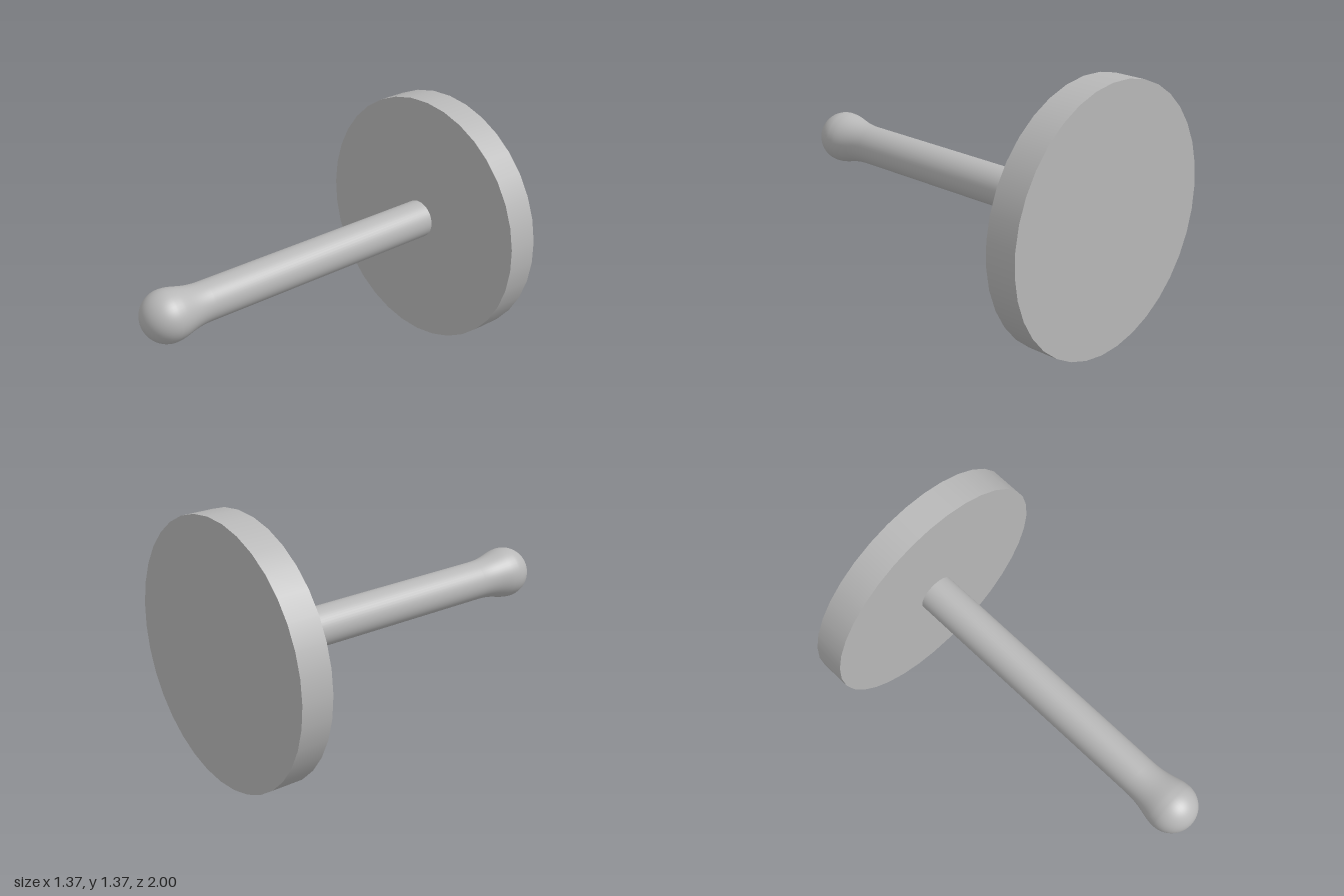
import * as THREE from 'three';

export function createModel() {
  const model = new THREE.Group();
  const grey = new THREE.MeshStandardMaterial({ color: 0xb8b8b8 });
  grey.name = 'plain grey';
  const axisY = 0.69;

  // Round base plate, standing upright at the back
  const plateGeometry = new THREE.CylinderGeometry(0.688, 0.688, 0.17, 35, 1, false, -Math.PI / 2);
  plateGeometry.rotateX(Math.PI / 2);
  const plate = new THREE.Mesh(plateGeometry, grey);
  plate.name = 'basePlate';
  plate.position.set(0, axisY, -0.915);
  model.add(plate);

  // Straight rod flaring into a ball tip, turned around the z axis
  const profile = [[0.104, -0.84], [0.104, 0.64]].map(([r, z]) => new THREE.Vector2(r, z));
  const flare = new THREE.CubicBezierCurve(
    new THREE.Vector2(0.104, 0.64), new THREE.Vector2(0.104, 0.74),
    new THREE.Vector2(0.127, 0.78), new THREE.Vector2(0.135, 0.835));
  profile.push(...flare.getPoints(10).slice(1));
  const ballRadius = 0.137, ballZ = 0.863;
  for (let i = 0; i <= 16; i++) {
    const a = (i / 16) * Math.PI / 2;
    profile.push(new THREE.Vector2(i === 16 ? 0 : ballRadius * Math.cos(a), ballZ + ballRadius * Math.sin(a)));
  }
  const rodGeometry = new THREE.LatheGeometry(profile, 48);
  rodGeometry.rotateX(Math.PI / 2);
  const rod = new THREE.Mesh(rodGeometry, grey);
  rod.name = 'rodWithBallTip';
  rod.position.y = axisY;
  model.add(rod);

  return model;
}
